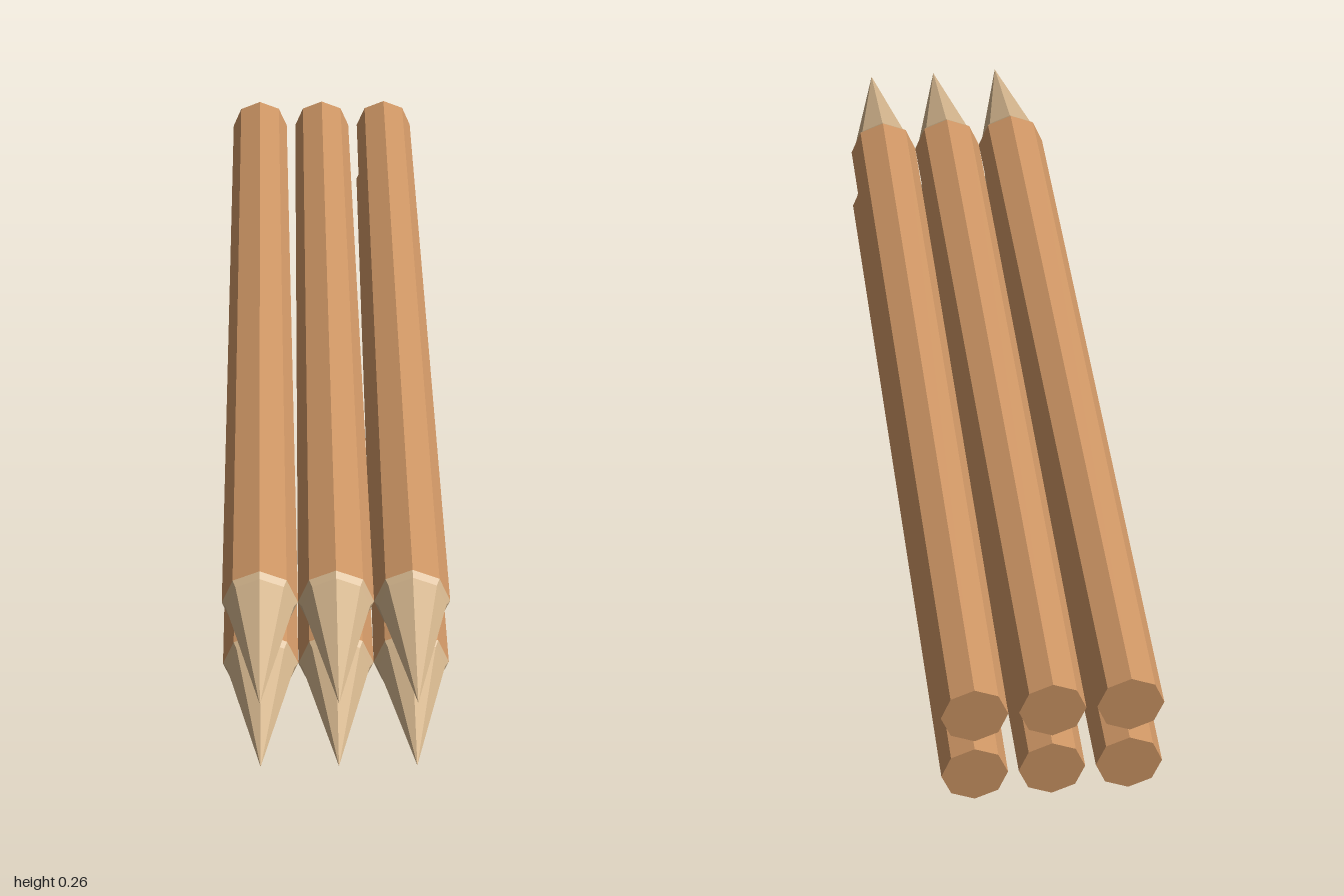
import * as THREE from 'three';

const SIDES = 8;
const SPACING = 0.13;

// Eight-sided tapered section running along z from zBack to zFront
function section(name, rBack, rFront, zBack, zFront, material, open) {
  const geometry = new THREE.CylinderGeometry(rFront, rBack, zFront - zBack, SIDES, 1, open);
  geometry.rotateX(Math.PI / 2);
  geometry.translate(0, 0, (zBack + zFront) / 2);
  const mesh = new THREE.Mesh(geometry, material);
  mesh.name = name;
  return mesh;
}

export function createModel() {
  const wood = new THREE.MeshStandardMaterial({ color: 0xcd9564, flatShading: true });
  wood.name = 'brown wood';
  const cutWood = new THREE.MeshStandardMaterial({ color: 0xd2b48c, flatShading: true });
  cutWood.name = 'pale cut wood';

  const model = new THREE.Group();
  model.name = 'stakeBundle';

  // Two rows of three sharpened stakes
  for (let row = 0; row < 2; row++) {
    for (let column = -1; column <= 1; column++) {
      const stake = new THREE.Group();
      stake.name = 'stake';
      stake.add(
        section('shaft', 0.056, 0.065, -1, 0.715, wood, false),
        section('pointShoulder', 0.065, 0.058, 0.715, 0.728, cutWood, true),
        section('point', 0.058, 0, 0.728, 1, cutWood, true),
      );
      stake.position.set(column * SPACING, 0.065 + row * SPACING, 0);
      model.add(stake);
    }
  }
  return model;
}
